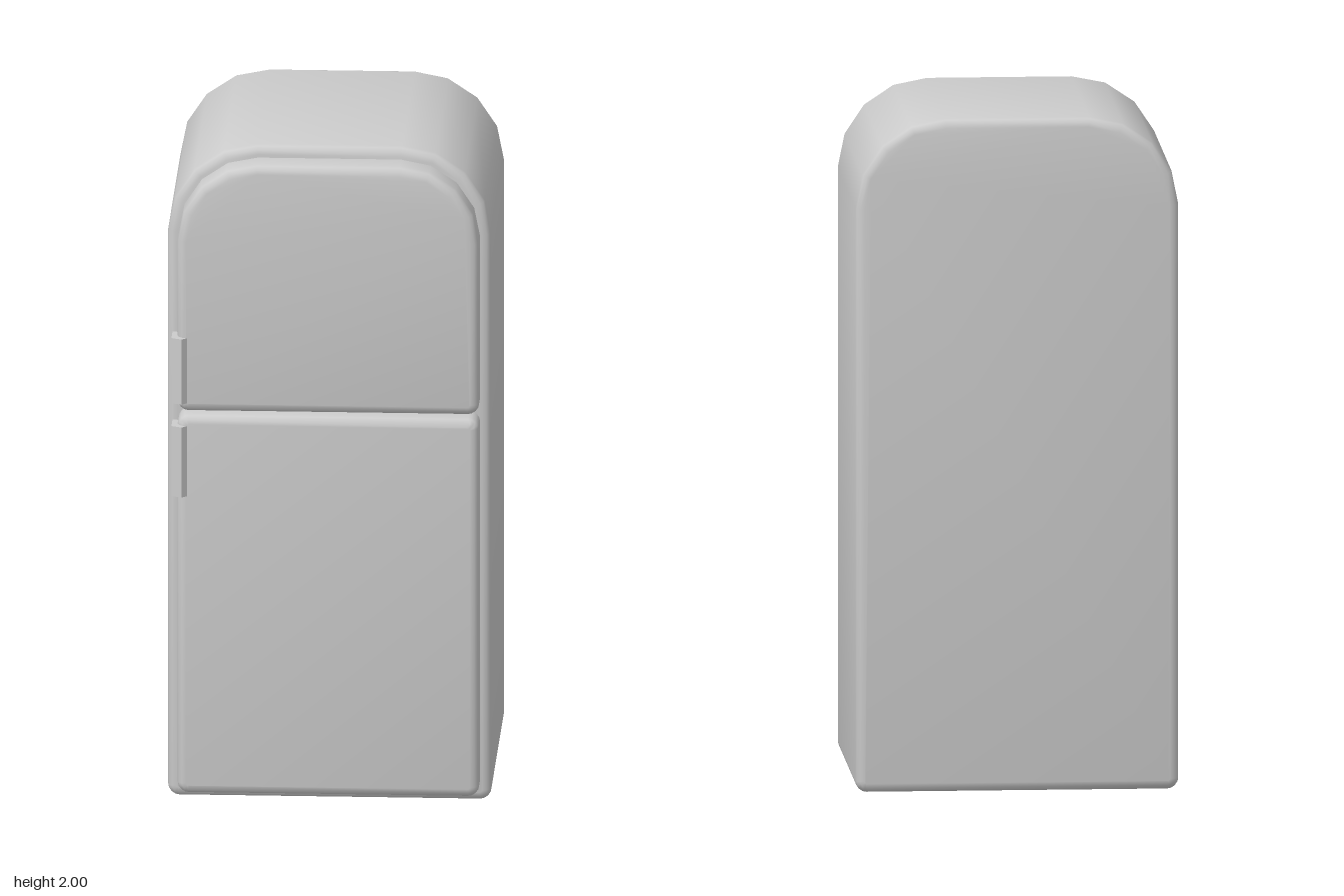
import * as THREE from 'three';
import { toCreasedNormals } from 'three/addons/utils/BufferGeometryUtils.js';

const material = new THREE.MeshStandardMaterial({ color: 0xcccccc });

function addMesh(group, name, geometry) {
  const mesh = new THREE.Mesh(toCreasedNormals(geometry, 0.7), material);
  mesh.name = name;
  group.add(mesh);
}

// Bevelled slab with separate radii for its top and bottom corners
function roundedSlab(halfWidth, y0, y1, z0, z1, topRadius, bottomRadius, bevel) {
  const w = halfWidth - bevel, b = y0 + bevel, t = y1 - bevel;
  const rt = Math.max(topRadius - bevel, 0.006);
  const rb = Math.max(bottomRadius - bevel, 0.006);
  const shape = new THREE.Shape();
  shape.absarc(w - rb, b + rb, rb, -Math.PI / 2, 0);
  shape.absarc(w - rt, t - rt, rt, 0, Math.PI / 2);
  shape.absarc(-w + rt, t - rt, rt, Math.PI / 2, Math.PI);
  shape.absarc(-w + rb, b + rb, rb, Math.PI, Math.PI * 1.5);
  return new THREE.ExtrudeGeometry(shape, {
    depth: z1 - z0 - 2 * bevel,
    curveSegments: 2,
    bevelEnabled: true, bevelThickness: bevel, bevelSize: bevel, bevelSegments: 3,
  }).translate(0, 0, z0 + bevel);
}

// Hooked grip wrapped around the door edge, extruded upwards
function handle(y0, y1) {
  const profile = [
    [-0.435, 0.375], [-0.46, 0.367], [-0.46, 0.436], [-0.43, 0.45], [-0.413, 0.433], [-0.425, 0.42],
  ];
  const shape = new THREE.Shape(profile.map(([x, z]) => new THREE.Vector2(x, -z)));
  return new THREE.ExtrudeGeometry(shape, { depth: y1 - y0, bevelEnabled: false })
    .rotateX(-Math.PI / 2).translate(0, y0, 0);
}

export function createModel() {
  const group = new THREE.Group();
  group.name = 'refrigerator';

  // Cabinet with a rounded top
  addMesh(group, 'cabinet', roundedSlab(0.475, 0, 2, -0.453, 0.345, 0.265, 0.035, 0.026));

  // Doors, set slightly into the cabinet front
  addMesh(group, 'upperDoor', roundedSlab(0.443, 1.207, 1.965, 0.28, 0.434, 0.235, 0.034, 0.026));
  addMesh(group, 'lowerDoor', roundedSlab(0.443, 0.035, 1.197, 0.28, 0.434, 0.034, 0.034, 0.026));

  // Handles on the right-hand door edges
  addMesh(group, 'upperHandle', handle(1.235, 1.435));
  addMesh(group, 'lowerHandle', handle(0.95, 1.165));

  return group;
}
